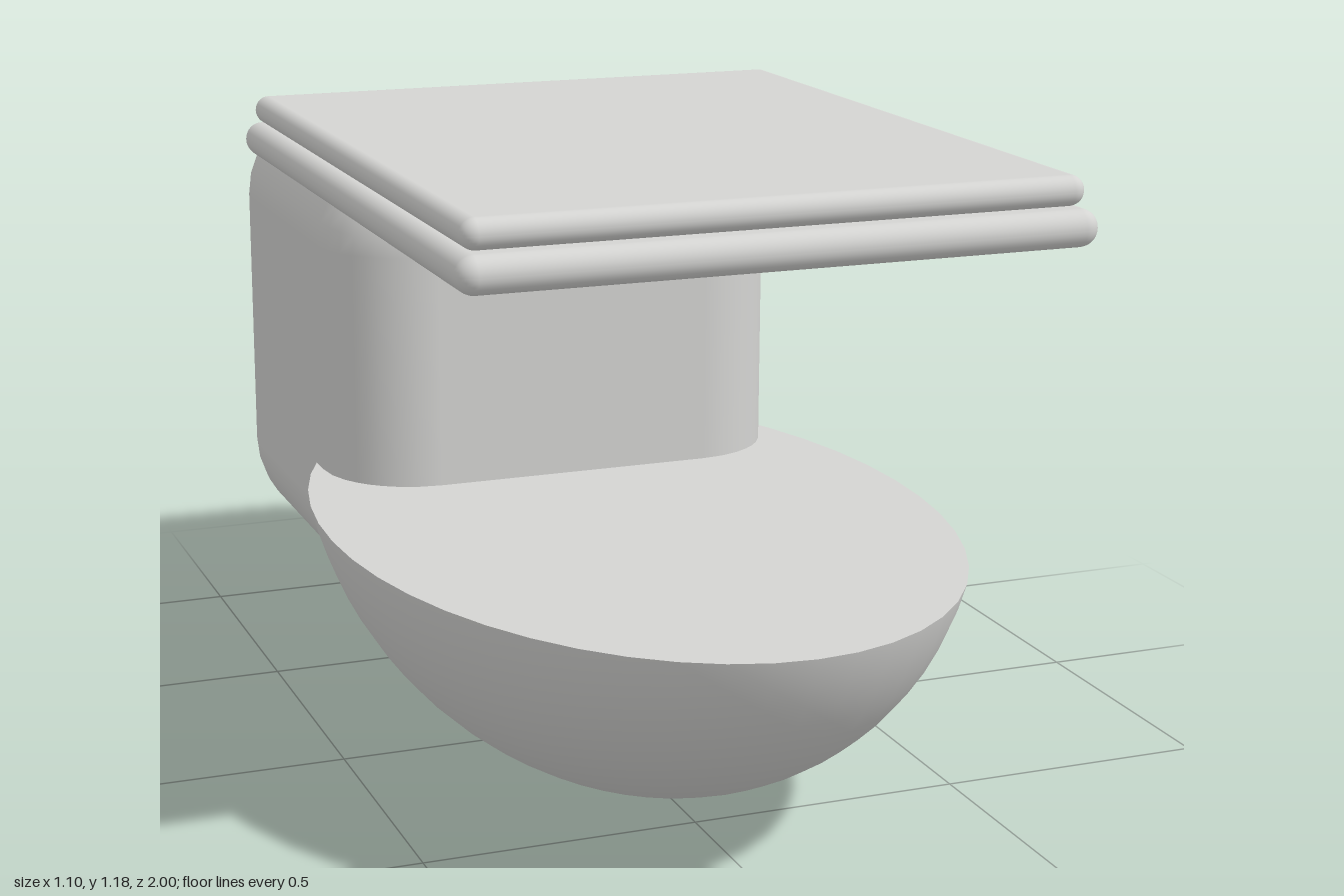
import * as THREE from 'three';
import { RoundedBoxGeometry } from 'three/addons/geometries/RoundedBoxGeometry.js';

const ceramic = new THREE.MeshStandardMaterial({ color: 0xd4d4d2 });
ceramic.name = 'ceramic';

// Rounded block given by its extents: x half width, y range, z range
function roundedBlock(name, halfX, y0, y1, z0, z1, radius, segments) {
  const geo = new RoundedBoxGeometry(halfX * 2, y1 - y0, z1 - z0, segments, radius);
  const mesh = new THREE.Mesh(geo, ceramic);
  mesh.name = name;
  mesh.position.set(0, (y0 + y1) / 2, (z0 + z1) / 2);
  return mesh;
}

export function createModel() {
  const model = new THREE.Group();
  model.name = 'toilet';

  // Bowl: lower part of an ellipsoid, closed by a flat oval at the rim
  const rimY = 0.473, rimX = 0.55, rimZ = 0.85, centreZ = 0.145;
  const radiusY = 0.605;
  const rimAngle = Math.acos((rimY - radiusY) / radiusY);
  const sinRim = Math.sin(rimAngle);
  const bowl = new THREE.Group();
  bowl.name = 'bowl';
  bowl.position.z = centreZ;

  const shellGeo = new THREE.SphereGeometry(1, 48, 16, 0, Math.PI * 2, rimAngle, Math.PI - rimAngle);
  shellGeo.scale(rimX / sinRim, radiusY, rimZ / sinRim);
  const shell = new THREE.Mesh(shellGeo, ceramic);
  shell.name = 'bowlShell';
  shell.position.y = radiusY;

  const topGeo = new THREE.CircleGeometry(1, 48);
  topGeo.rotateX(-Math.PI / 2);
  topGeo.scale(rimX, 1, rimZ);
  const top = new THREE.Mesh(topGeo, ceramic);
  top.name = 'bowlTop';
  top.position.y = rimY;
  bowl.add(shell, top);

  // Tank behind the bowl, then the seat and lid slabs
  model.add(
    bowl,
    roundedBlock('tank', 0.445, 0.21, 1.09, -1.0, -0.12, 0.18, 4),
    roundedBlock('seat', 0.542, 1.063, 1.126, -0.47, 0.88, 0.031, 4),
    roundedBlock('lid', 0.527, 1.127, 1.178, -0.443, 0.853, 0.025, 4),
  );
  return model;
}
